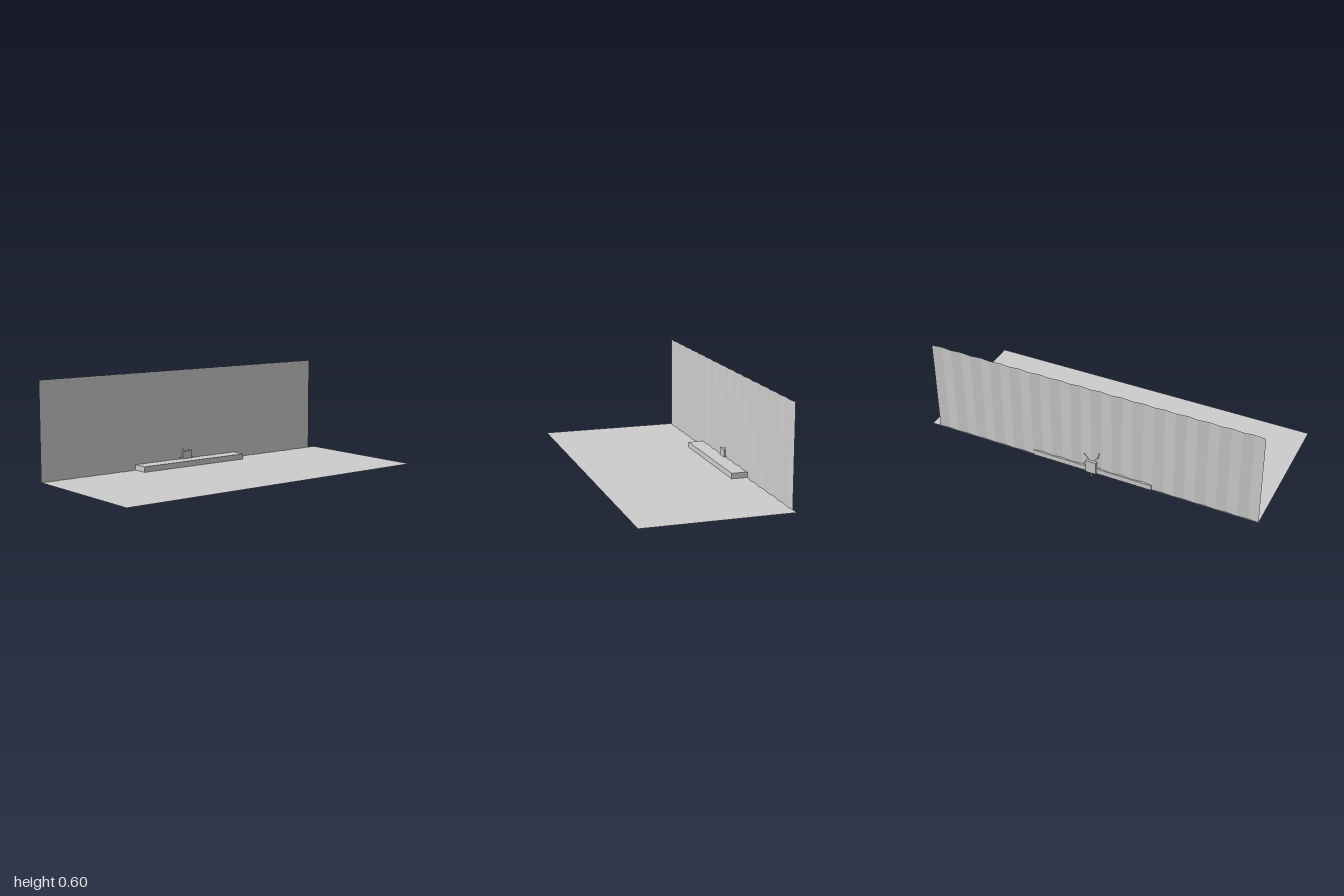
import * as THREE from 'three';

export function createModel() {
  const group = new THREE.Group();
  const grey = new THREE.MeshStandardMaterial({ color: 0xcccccc, side: THREE.DoubleSide, flatShading: true });
  grey.name = 'plain grey';

  const add = (name, geometry, x = 0, y = 0, z = 0, parent = group) => {
    const mesh = new THREE.Mesh(geometry, grey);
    mesh.name = name;
    mesh.position.set(x, y, z);
    parent.add(mesh);
    return mesh;
  };

  // Flat floor sheet
  add('floor', new THREE.PlaneGeometry(2, 0.835).rotateX(-Math.PI / 2), 0, 0.04, 0.005);

  // Pleated back wall: alternate columns step forward and back
  const folds = 32;
  const wall = new THREE.PlaneGeometry(1.95, 0.56, folds, 1);
  const p = wall.attributes.position;
  for (let i = 0; i < p.count; i++) p.setZ(i, (i % (folds + 1)) % 2 ? 0.0035 : -0.0035);
  add('pleatedWall', wall.toNonIndexed(), -0.025, 0.32, -0.408).geometry.computeVertexNormals();

  // Low platform against the wall
  add('platform', new THREE.BoxGeometry(0.72, 0.032, 0.098), -0.025, 0.056, -0.367);

  // Fine pegs under the rear edge of the platform
  const cx = -0.025, cz = -0.411;
  const pegs = new THREE.Group();
  pegs.name = 'pegs';
  group.add(pegs);
  for (const side of [-1, 1]) {
    for (let i = 0; i < 5; i++) {
      add('peg', new THREE.CylinderGeometry(0.0015, 0.001, 0.02, 6), cx + side * (0.11 + 0.056 * i), 0.03, cz, pegs);
    }
  }

  // Central ornament: block, side hooks, branches and a pendant
  const ornament = new THREE.Group();
  ornament.name = 'ornament';
  ornament.position.set(cx, 0, cz);
  group.add(ornament);
  add('ornamentBlock', new THREE.BoxGeometry(0.062, 0.077, 0.027), 0, 0.0785, 0, ornament);

  const tube = (name, points, radius) => {
    const curve = new THREE.CatmullRomCurve3(points.map(q => new THREE.Vector3(...q)));
    add(name, new THREE.TubeGeometry(curve, 10, radius, 5), 0, 0, 0, ornament);
  };
  for (const s of [-1, 1]) {
    tube('sideHook', [[s * 0.03, 0.082, 0.004], [s * 0.042, 0.079, 0.006], [s * 0.051, 0.084, 0.004]], 0.002);
    tube('branch', [[s * 0.012, 0.115, 0], [s * 0.026, 0.132, 0.001], [s * 0.038, 0.146, 0], [s * 0.044, 0.158, -0.002]], 0.002);
  }
  tube('tallBranch', [[-0.038, 0.146, 0], [-0.043, 0.165, -0.002], [-0.051, 0.188, -0.003]], 0.002);

  // Pointed pendant reaching the ground
  const profile = [[0, 0], [0.004, 0.005], [0.006, 0.014], [0.004, 0.02], [0.007, 0.03], [0.007, 0.04]];
  add('pendant', new THREE.LatheGeometry(profile.map(q => new THREE.Vector2(...q)), 8), 0, 0, 0, ornament);

  return group;
}
